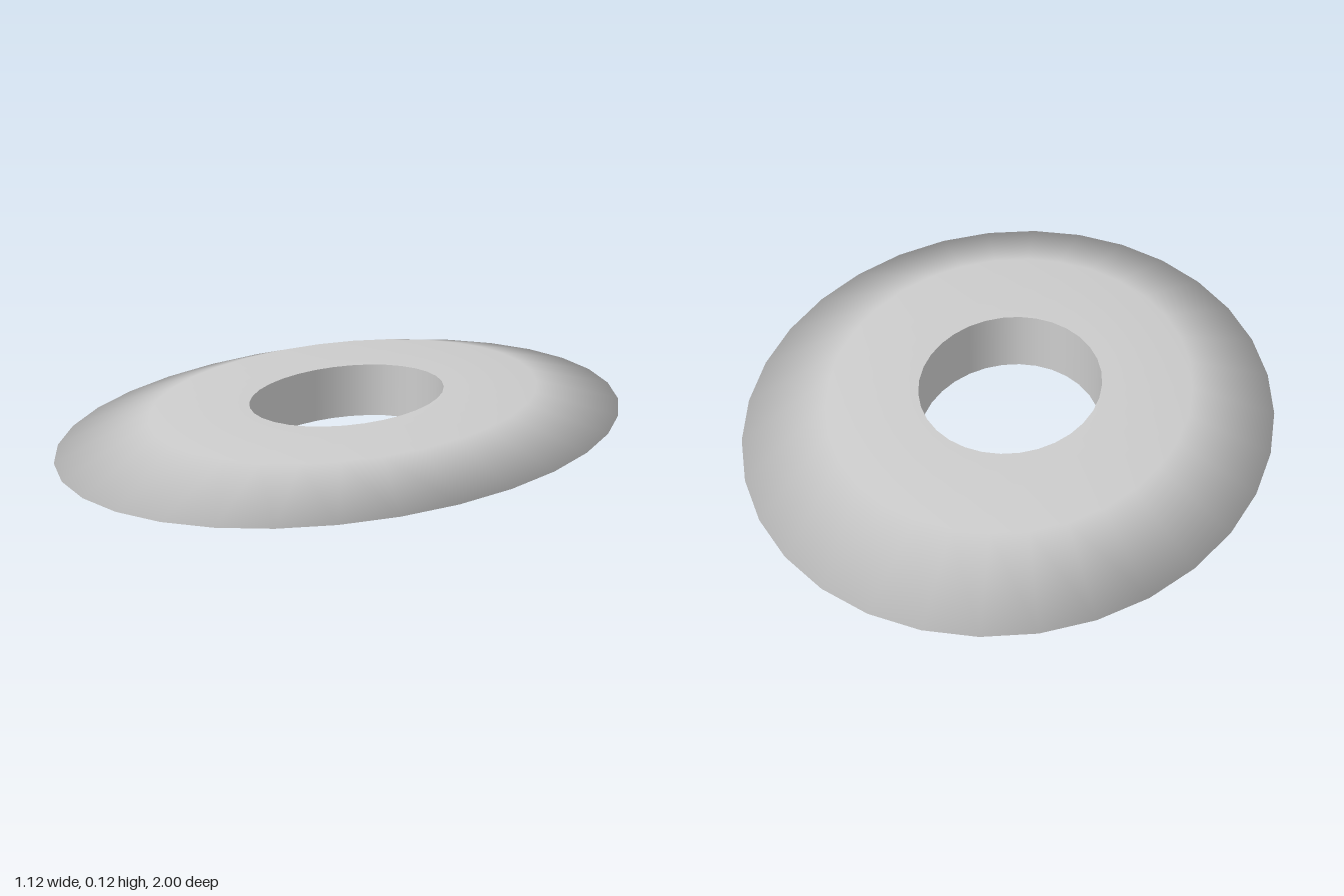
import * as THREE from 'three';

const SIDES = 32;
const WIDTH = 0.56; // half width in x, with a half length of 1 in z

// Revolve a [radius, height] profile, then squeeze it into an ellipse
function ellipticalLathe(name, profile, material) {
  const points = profile.map(([r, y]) => new THREE.Vector2(r, y));
  const geometry = new THREE.LatheGeometry(points, SIDES);
  geometry.scale(WIDTH, 1, 1);
  const mesh = new THREE.Mesh(geometry, material);
  mesh.name = name;
  return mesh;
}

export function createModel() {
  const group = new THREE.Group();
  group.name = 'ovalRing';
  const material = new THREE.MeshStandardMaterial({ color: 0xcccccc });

  // Nearly flat faces tapering to a thin rim, smooth all the way round
  group.add(ellipticalLathe('bevelledDisc', [
    [0.347, 0], [0.69, 0.003], [1, 0.0575], [0.69, 0.112], [0.347, 0.115],
  ], material));

  // Straight wall of the central opening, facing inward
  group.add(ellipticalLathe('holeWall', [[0.347, 0.115], [0.347, 0]], material));

  return group;
}
